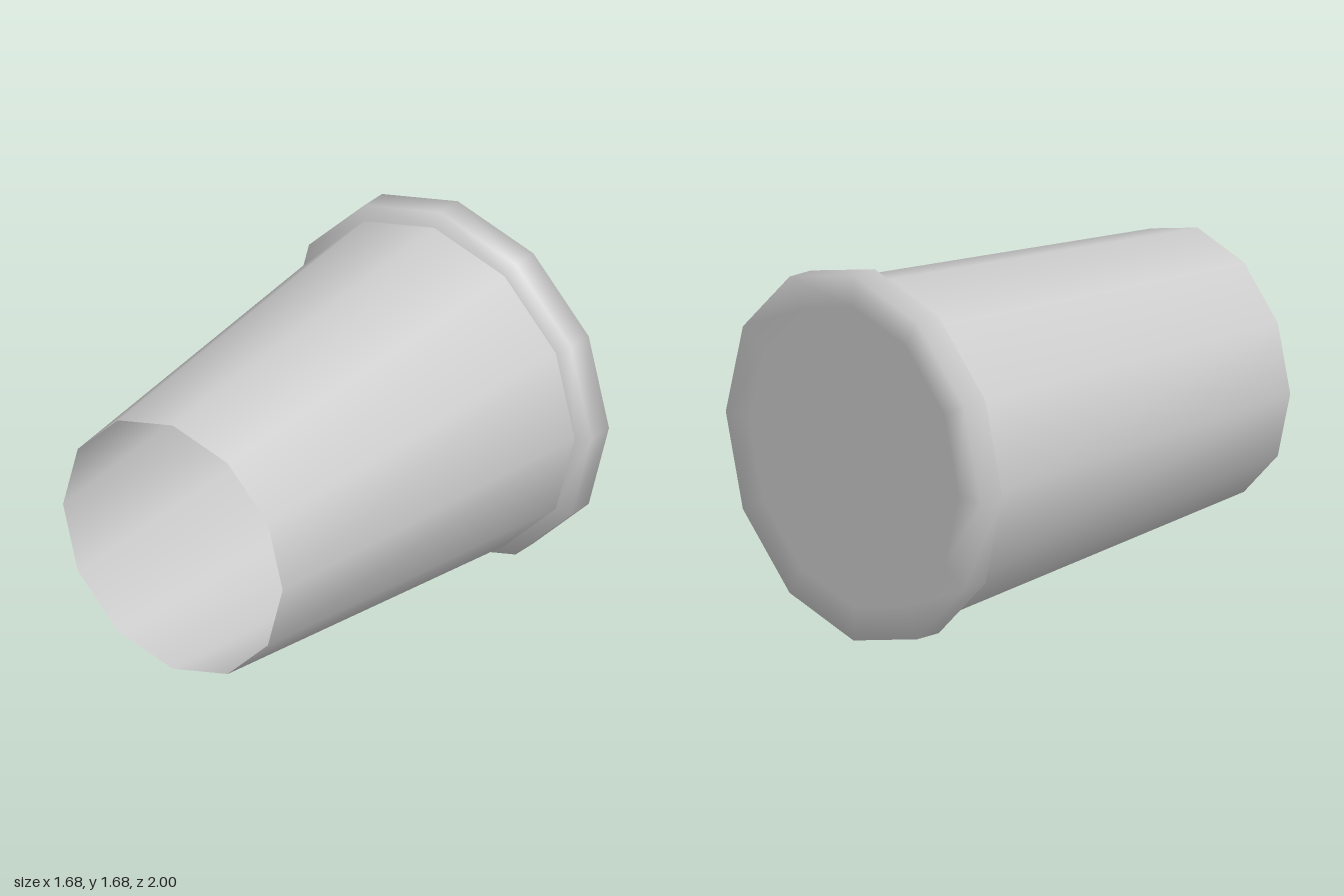
import * as THREE from 'three';

const SIDES = 12;
const CENTRE_Y = 0.84;

// Turns a [radius, z] profile around the z axis.
function turned(name, profile, material) {
  const points = profile.map(([r, z]) => new THREE.Vector2(r, z));
  const geometry = new THREE.LatheGeometry(points, SIDES);
  geometry.rotateX(Math.PI / 2);
  const mesh = new THREE.Mesh(geometry, material);
  mesh.name = name;
  mesh.position.y = CENTRE_Y;
  return mesh;
}

export function createModel() {
  const group = new THREE.Group();
  group.name = 'cup';

  const grey = new THREE.MeshStandardMaterial({ color: 0xcccccc, side: THREE.DoubleSide });
  grey.name = 'light grey';

  // Closed end with its softened edge and the collar around it
  group.add(turned('collarAndEndCap', [
    [0, -1], [0.69, -1], [0.84, -1], [0.84, -0.875], [0.78, -0.835],
  ], grey));

  // Tapered wall, open at the front
  group.add(turned('taperedWall', [[0.78, -0.835], [0.61, 1]], grey));

  return group;
}
